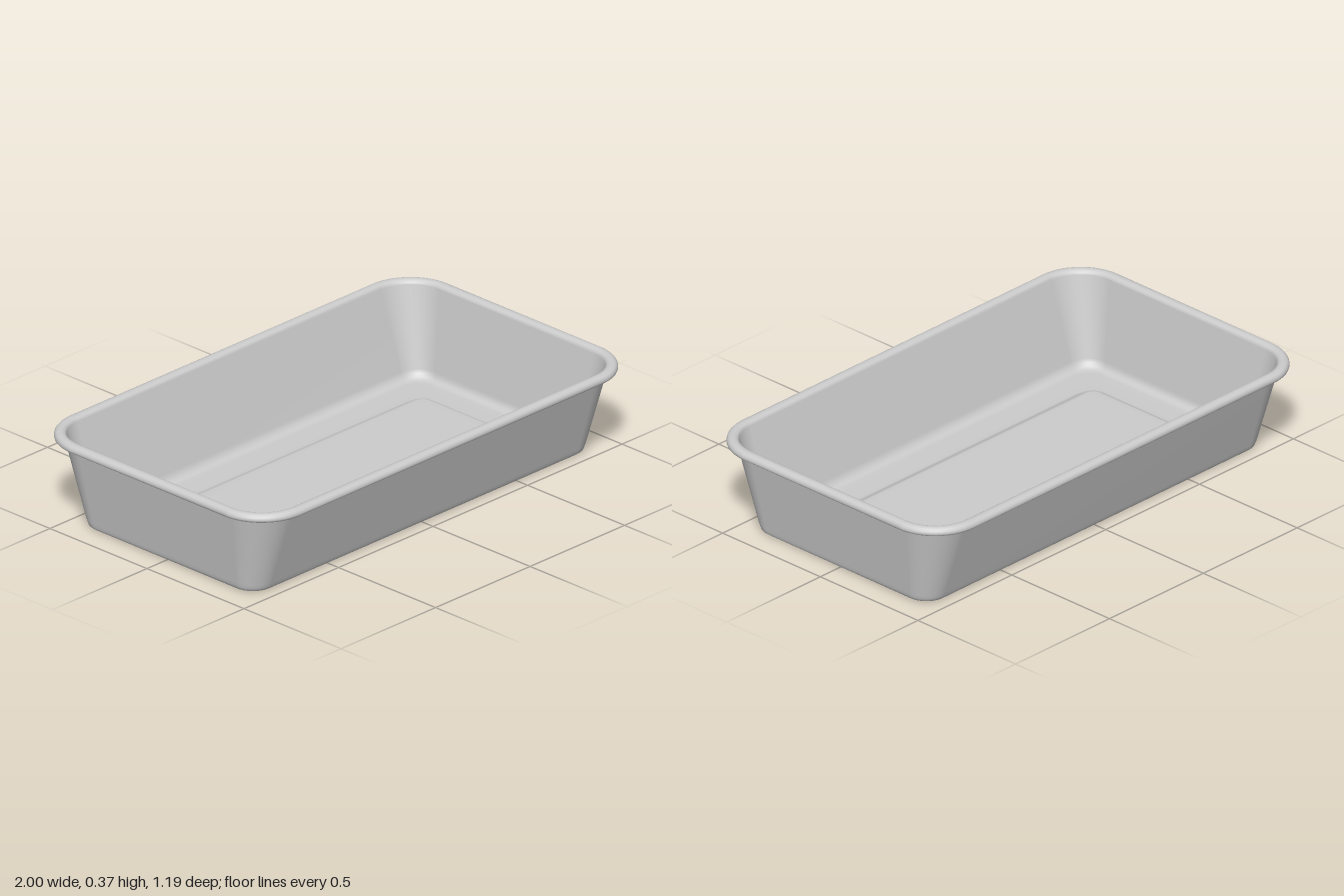
import * as THREE from 'three';

const CORNER_STEPS = 14;

// One rounded-rectangle outline: half width, half depth, corner radius, height
function outline([hx, hz, r, y]) {
  const points = [];
  for (let q = 0; q < 4; q++) {
    const sx = q === 0 || q === 3 ? 1 : -1;
    const sz = q < 2 ? 1 : -1;
    for (let k = 0; k <= CORNER_STEPS; k++) {
      const a = (q + k / CORNER_STEPS) * Math.PI / 2;
      points.push(sx * (hx - r) + r * Math.cos(a), y, sz * (hz - r) + r * Math.sin(a));
    }
  }
  return points;
}

// Skin a sequence of outlines into one smooth surface
function loft(rings) {
  const n = 4 * (CORNER_STEPS + 1);
  const index = [];
  for (let i = 0; i < rings.length - 1; i++) {
    for (let j = 0; j < n; j++) {
      const k = (j + 1) % n;
      const a = i * n + j, b = i * n + k, c = a + n, d = b + n;
      index.push(a, c, b, b, c, d);
    }
  }
  const geometry = new THREE.BufferGeometry();
  geometry.setAttribute('position', new THREE.Float32BufferAttribute(rings.flatMap(outline), 3));
  geometry.setIndex(index);
  geometry.computeVertexNormals();
  return geometry;
}

// Floor with a raised central panel, from the middle outwards
function floorRings(y) {
  const rings = [[0, 0, 0, y + 0.045], [0.66, 0.19, 0.02, y + 0.045]];
  const steps = 10;
  for (let i = 0; i <= steps; i++) {
    const t = i / steps;
    const drop = t * t * (3 - 2 * t);
    rings.push([0.69 + 0.08 * t, 0.225 + 0.09 * t, 0.03 + 0.05 * t, y + 0.045 * (1 - drop)]);
  }
  rings.push([0.8, 0.345, 0.08, y]);
  return rings;
}

export function createModel() {
  const group = new THREE.Group();
  const material = new THREE.MeshStandardMaterial({ color: 0xcccccc, side: THREE.DoubleSide });
  const add = (name, rings) => {
    const mesh = new THREE.Mesh(loft(rings), material);
    mesh.name = name;
    group.add(mesh);
  };

  // Outer skin: underside, tight bottom edge, sloping walls
  add('outerShell', [
    ...floorRings(0),
    [0.885, 0.436, 0.075, 0],
    [0.894, 0.445, 0.083, 0.002],
    [0.9, 0.451, 0.088, 0.007],
    [0.903, 0.455, 0.092, 0.016],
    [0.906, 0.46, 0.094, 0.03],
    [0.962, 0.558, 0.16, 0.35],
  ]);

  // Inner skin: walls down to a soft fillet and the floor
  add('innerShell', [
    [0.953, 0.549, 0.152, 0.355],
    [0.9, 0.457, 0.09, 0.045],
    [0.896, 0.45, 0.086, 0.03],
    [0.888, 0.441, 0.08, 0.019],
    [0.876, 0.43, 0.074, 0.012],
    [0.86, 0.415, 0.07, 0.01],
    ...floorRings(0.01).reverse(),
  ]);

  // Rolled rim: [outward offset, height] around its cross-section
  const rim = [
    [0.003, 0.342], [0.02, 0.339], [0.033, 0.339], [0.038, 0.343], [0.04, 0.35],
    [0.038, 0.359], [0.032, 0.366], [0.022, 0.37], [0.01, 0.37], [0, 0.366],
    [-0.005, 0.36], [-0.007, 0.353],
  ];
  add('rolledRim', rim.map(([o, y]) => [0.96 + o, 0.556 + o, 0.16 + o, y]));

  return group;
}
